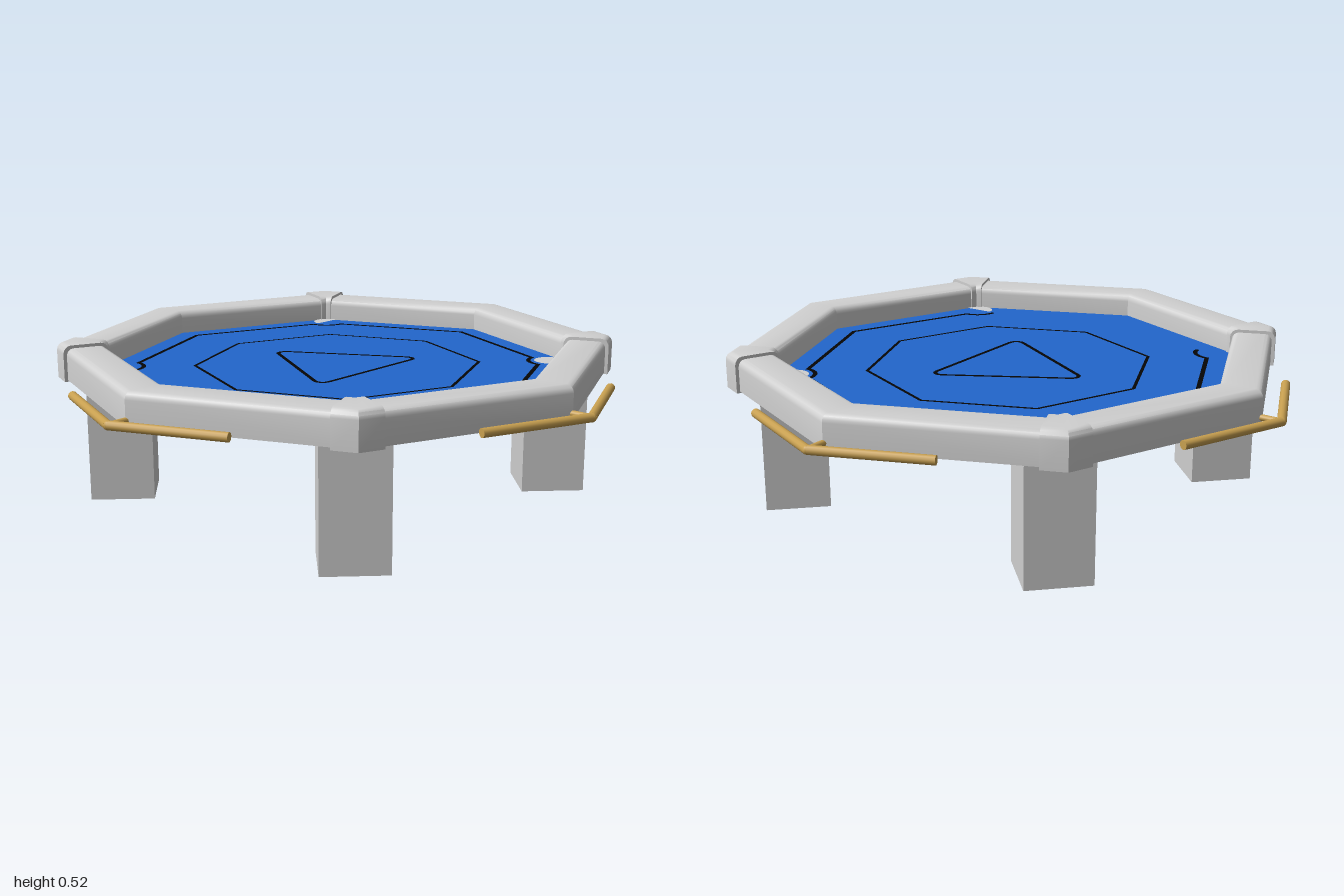
import * as THREE from 'three';
import { toCreasedNormals } from 'three/addons/utils/BufferGeometryUtils.js';

const mat = (name, color, side = THREE.FrontSide) => {
  const m = new THREE.MeshStandardMaterial({ color, side });
  m.name = name;
  return m;
};

// Closed rail section (radius, height), counter-clockwise, rounded on top
function railProfile(inner, outer, bottom, top, r) {
  const pts = [[outer, bottom]];
  for (let i = 0; i <= 4; i++) {
    const a = (i / 4) * Math.PI / 2;
    pts.push([outer - r + r * Math.cos(a), top - r + r * Math.sin(a)]);
  }
  for (let i = 0; i <= 4; i++) {
    const a = (1 + i / 4) * Math.PI / 2;
    pts.push([inner + r + r * Math.cos(a), top - r + r * Math.sin(a)]);
  }
  pts.push([inner, bottom]);
  return pts;
}

// Bent sleeve over one rail corner (corner points to +z), cut square at both ends
function sleeveGeometry(profile, cut) {
  const half = Math.PI / 8, n = profile.length, pos = [], idx = [];
  for (const side of [-1, 0, 1]) {
    for (const [r, y] of profile) {
      const d = r * Math.cos(half), a = side * half;
      if (side === 0) pos.push(0, y, r);
      else pos.push(d * Math.sin(a) - side * cut * Math.cos(a), y, d * Math.cos(a) + cut * Math.sin(half));
    }
  }
  for (let i = 0; i < 2; i++) {
    for (let j = 0; j < n; j++) {
      const k = (j + 1) % n, a = i * n + j, b = a + n, c = (i + 1) * n + k, d = i * n + k;
      idx.push(a, b, c, a, c, d);
    }
  }
  for (let j = 1; j < n - 1; j++) {
    idx.push(0, j, j + 1, 2 * n, 2 * n + j + 1, 2 * n + j);
  }
  const g = new THREE.BufferGeometry();
  g.setAttribute('position', new THREE.Float32BufferAttribute(pos, 3));
  g.setIndex(idx);
  return toCreasedNormals(g, 0.6);
}

// Flat mitred line along (x, z) points
function ribbonGeometry(pts, width, closed) {
  const n = pts.length, pos = [], idx = [];
  const dir = (a, b) => new THREE.Vector2().subVectors(b, a).normalize();
  pts.forEach((p, i) => {
    const prev = closed || i > 0 ? pts[(i + n - 1) % n] : null;
    const next = closed || i < n - 1 ? pts[(i + 1) % n] : null;
    const d0 = prev ? dir(prev, p) : dir(p, next), d1 = next ? dir(p, next) : d0;
    const t = d0.clone().add(d1).normalize();
    const w = width / 2 / Math.max(0.5, t.dot(d1));
    pos.push(p.x - t.y * w, 0, p.y + t.x * w, p.x + t.y * w, 0, p.y - t.x * w);
  });
  for (let i = 0; i < (closed ? n : n - 1); i++) {
    const a = 2 * i, b = 2 * ((i + 1) % n);
    idx.push(a, b, a + 1, a + 1, b, b + 1);
  }
  const g = new THREE.BufferGeometry();
  g.setAttribute('position', new THREE.Float32BufferAttribute(pos, 3));
  g.setIndex(idx);
  g.computeVertexNormals();
  return g;
}

export function createModel() {
  const group = new THREE.Group();
  const grey = mat('lightGrey', 0xd0d0d0);
  const blue = mat('blue', 0x2266cc);
  const black = mat('black', 0x050505, THREE.DoubleSide);
  const gold = mat('gold', 0xc8a050);
  const add = (name, geo, m, x = 0, y = 0, z = 0) => {
    const mesh = new THREE.Mesh(geo, m);
    mesh.name = name;
    mesh.position.set(x, y, z);
    group.add(mesh);
    return mesh;
  };
  const rod = (name, a, b, r) => {
    const d = new THREE.Vector3().subVectors(b, a);
    const mesh = add(name, new THREE.CylinderGeometry(r, r, d.length(), 12), gold);
    mesh.position.addVectors(a, b).multiplyScalar(0.5);
    mesh.quaternion.setFromUnitVectors(new THREE.Vector3(0, 1, 0), d.normalize());
  };

  // Octagonal rail and playing board
  const rail = railProfile(0.775, 0.92, 0.403, 0.508, 0.025);
  const loop = [...rail, rail[0]].map(([r, y]) => new THREE.Vector2(r, y));
  add('rail', toCreasedNormals(new THREE.LatheGeometry(loop, 8), 0.6), grey);
  const floorTop = 0.428;
  add('board', new THREE.CylinderGeometry(0.79, 0.79, 0.012, 8), blue, 0, floorTop - 0.006, 0);

  // Corner sleeves and legs on the diagonals
  const sleeve = sleeveGeometry(railProfile(0.768, 0.932, 0.398, 0.518, 0.028), 0.275);
  const leg = new THREE.BoxGeometry(0.21, 0.415, 0.21);
  for (let i = 0; i < 4; i++) {
    const a = Math.PI / 4 + i * Math.PI / 2;
    add('cornerSleeve', sleeve, grey).rotation.y = a;
    const c = 0.7248;
    add('leg', leg, grey, c * Math.sin(a), 0.2075, c * Math.cos(a)).rotation.y = Math.PI / 4;
  }

  // Corner pockets: x sign, z sign, start angle, sweep
  const pockets = [[1, 1, 0, Math.PI * 2], [1, -1, 0, Math.PI], [-1, 1, Math.PI / 2, Math.PI]];
  for (const [sx, sz, start, sweep] of pockets) {
    const disc = new THREE.CircleGeometry(0.051, 24, start, sweep).rotateX(-Math.PI / 2);
    add('pocket', disc, grey, sx * 0.51, floorTop + 0.003, sz * 0.507);
  }

  // Painted lines: outer border bends around each pocket and is open on the right
  const lineY = floorTop + 0.002;
  const V = (x, z) => new THREE.Vector2(x, z);
  const notch = (sx, sz, fromSide) => {
    const pts = [];
    for (let i = 0; i <= 8; i++) {
      const a = (fromSide ? 8 - i : i) / 8 * Math.PI / 2;
      pts.push(V(sx * (0.51 - 0.073 * Math.cos(a)), sz * (0.51 - 0.073 * Math.sin(a))));
    }
    return pts;
  };
  const border = [
    ...notch(-1, -1, true), V(0, -0.695), ...notch(1, -1, false), V(0.695, 0),
    ...notch(1, 1, true), V(0, 0.695), ...notch(-1, 1, false),
  ];
  add('borderLine', ribbonGeometry(border, 0.015, false), black, 0, lineY, 0);

  const octagon = [];
  for (let i = 0; i < 8; i++) {
    const a = i * Math.PI / 4;
    octagon.push(V(0.478 * Math.sin(a), 0.478 * Math.cos(a)));
  }
  add('middleLine', ribbonGeometry(octagon, 0.011, true), black, 0, lineY, 0);

  // Triangle with rounded corners
  const triangle = [];
  for (let i = 0; i < 3; i++) {
    const a = Math.PI + i * Math.PI * 2 / 3;
    for (let j = -3; j <= 3; j++) {
      const b = a + j * Math.PI / 9;
      triangle.push(V(0.242 * Math.sin(a) + 0.026 * Math.sin(b), 0.242 * Math.cos(a) + 0.026 * Math.cos(b)));
    }
  }
  add('triangleLine', ribbonGeometry(triangle, 0.014, true), black, 0, lineY, 0);

  // Bent handrails on the four straight sides
  const up = new THREE.Vector3(0, 1, 0);
  for (let i = 0; i < 4; i++) {
    const P = (x, z) => new THREE.Vector3(x, 0.422, z).applyAxisAngle(up, i * Math.PI / 2);
    const tip = P(0, 0.984);
    rod('handrail', P(-0.346, 0.841), tip, 0.0145);
    rod('handrail', tip, P(0.346, 0.841), 0.0145);
    rod('handrailBracket', P(0, 0.9), tip, 0.01);
    add('handrailJoint', new THREE.SphereGeometry(0.0145, 12, 8), gold).position.copy(tip);
  }
  return group;
}
